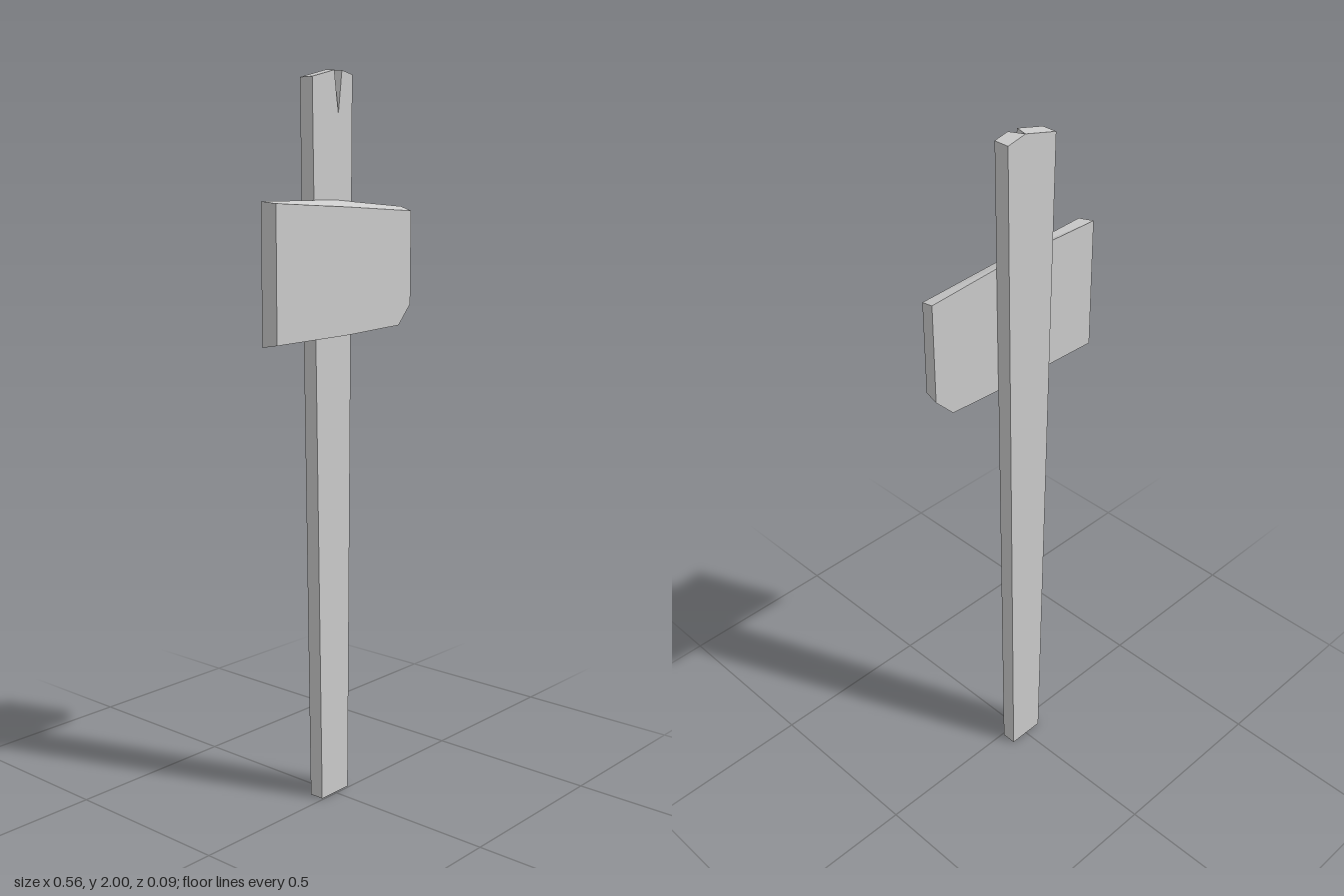
import * as THREE from 'three';

const material = new THREE.MeshStandardMaterial({ color: 0xcccccc, flatShading: true });

// Solid between a front and a back outline, both counter-clockwise with matching points
function loft(name, front, back, zFront, zBack) {
  const f = front.map(([x, y]) => new THREE.Vector3(x, y, zFront));
  const b = back.map(([x, y]) => new THREE.Vector3(x, y, zBack));
  const points = [];
  const tri = (p, q, r) => {
    // skip collapsed triangles where outline points coincide
    if (p.equals(q) || q.equals(r) || r.equals(p)) return;
    points.push(p, q, r);
  };
  const cap = (outline) => {
    const ring = outline.filter((p, i) => i === 0 || !p.equals(outline[i - 1]));
    const faces = THREE.ShapeUtils.triangulateShape(ring.map((p) => new THREE.Vector2(p.x, p.y)), []);
    return faces.map((face) => face.map((i) => ring[i]));
  };
  cap(f).forEach(([p, q, r]) => tri(p, q, r));
  cap(b).forEach(([p, q, r]) => tri(r, q, p));
  f.forEach((p, i) => {
    const j = (i + 1) % f.length;
    tri(p, b[i], b[j]);
    tri(p, b[j], f[j]);
  });
  const geometry = new THREE.BufferGeometry().setFromPoints(points);
  geometry.computeVertexNormals();
  const mesh = new THREE.Mesh(geometry, material);
  mesh.name = name;
  return mesh;
}

export function createModel() {
  const group = new THREE.Group();
  group.name = 'signpost';

  // Tapered post; a V-shaped split in the front of its top closes at the back
  const foot = [[-0.055, 0], [0.055, 0], [0.069, 1.988]];
  const shoulder = [-0.088, 1.975];
  const peak = [0.013, 2];
  group.add(loft('post',
    [...foot, [0.027, 1.997], [0.013, 1.885], [-0.003, 1.996], shoulder],
    [...foot, peak, peak, peak, shoulder],
    -0.005, -0.048));

  // Sign board with bevelled edges and one clipped lower corner
  group.add(loft('signBoard',
    [[-0.27, 1.305], [0, 1.311], [0.218, 1.322], [0.269, 1.378], [0.269, 1.634], [0, 1.647], [-0.27, 1.658]],
    [[-0.279, 1.298], [0, 1.304], [0.222, 1.316], [0.277, 1.373], [0.277, 1.646], [0, 1.665], [-0.279, 1.663]],
    0.038, -0.005));

  return group;
}
